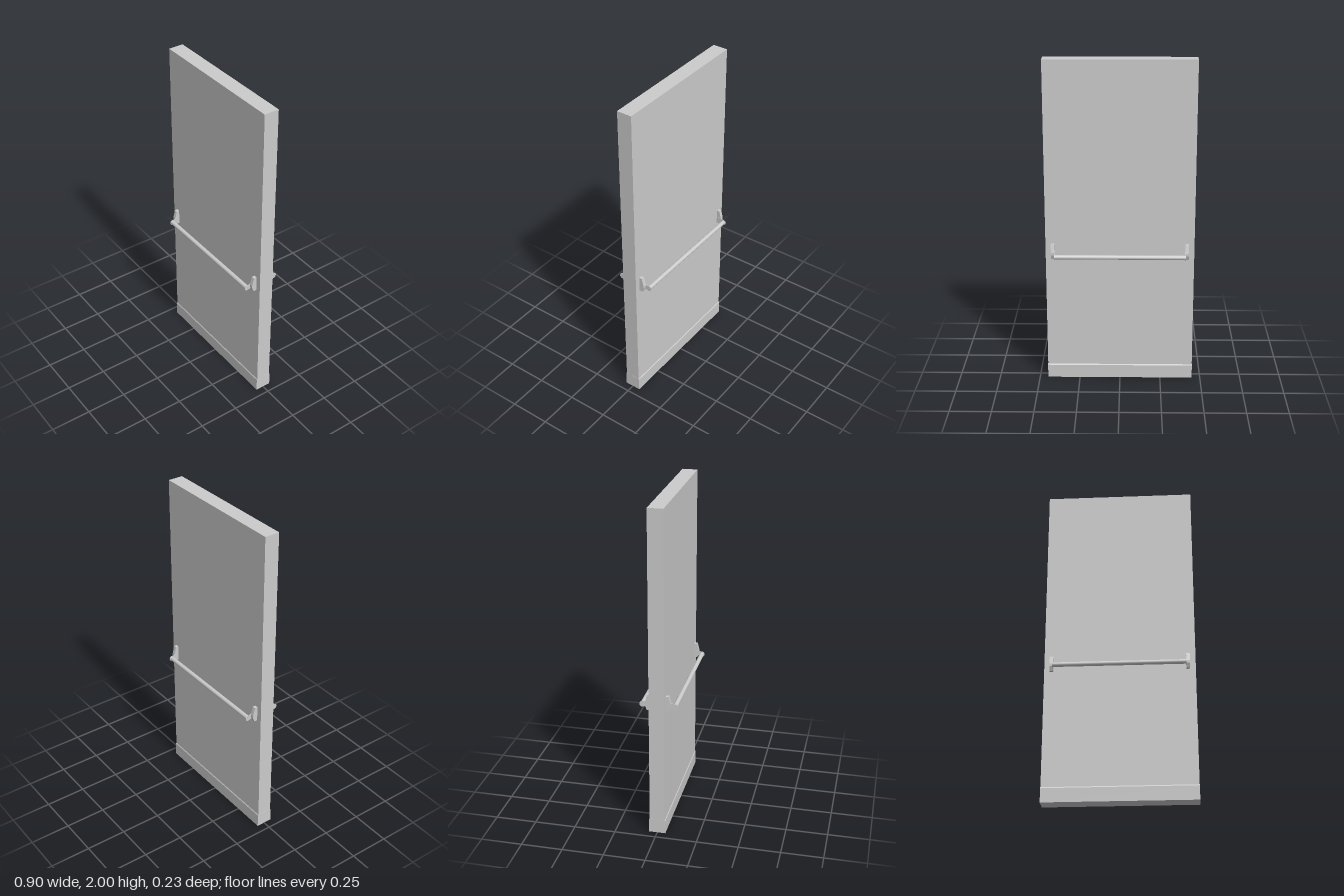
import * as THREE from 'three';

const material = new THREE.MeshStandardMaterial({ color: 0xcccccc });

// Extrudes a (z, y) profile along x, centred on x
function sideExtrude(shape, width, x, name) {
  const geo = new THREE.ExtrudeGeometry(shape, { depth: width, bevelEnabled: false, curveSegments: 16 });
  geo.translate(0, 0, -width / 2).rotateY(-Math.PI / 2);
  const mesh = new THREE.Mesh(geo, material);
  mesh.position.x = x;
  mesh.name = name;
  return mesh;
}

function polygon(points) {
  return new THREE.Shape(points.map(([z, y]) => new THREE.Vector2(z, y)));
}

// Push bar with its two end brackets and arms, on the +z face
function createPushBar() {
  const group = new THREE.Group();
  const barY = 0.82, barZ = 0.097;

  const bar = new THREE.Mesh(new THREE.CylinderGeometry(0.0135, 0.0135, 0.786, 24), material);
  bar.rotation.z = Math.PI / 2;
  bar.position.set(0, barY, barZ);
  bar.name = 'bar';
  group.add(bar);

  // Bracket body, sloping outward towards the arm
  const bracket = polygon([
    [0.045, 0.795], [0.066, 0.795], [0.077, 0.822], [0.077, 0.838], [0.064, 0.889], [0.045, 0.889],
  ]);

  // Thin arm plate with a rounded end around the bar
  const arm = new THREE.Shape();
  arm.moveTo(0.06, 0.845);
  arm.lineTo(0.06, 0.812);
  arm.lineTo(0.088, 0.805);
  arm.absarc(barZ, barY, 0.0175, -2.1, 1.9, false);
  arm.lineTo(0.075, 0.842);
  arm.closePath();

  for (const side of [-1, 1]) {
    group.add(sideExtrude(bracket, 0.021, side * 0.404, 'bracket'));
    group.add(sideExtrude(arm, 0.003, side * 0.3925, 'arm'));
  }
  return group;
}

export function createModel() {
  const model = new THREE.Group();

  // Door leaf
  const leaf = new THREE.Mesh(new THREE.BoxGeometry(0.896, 2, 0.092), material);
  leaf.position.y = 1;
  leaf.name = 'doorLeaf';
  model.add(leaf);

  // Kick plate wrapping the foot of the door, with a chamfered top edge
  const kick = polygon([
    [-0.05, 0], [0.05, 0], [0.05, 0.083], [0.046, 0.09], [-0.046, 0.09], [-0.05, 0.083],
  ]);
  model.add(sideExtrude(kick, 0.898, 0, 'kickPlate'));

  // One push bar on each face
  ['frontPushBar', 'backPushBar'].forEach((name, i) => {
    const pushBar = createPushBar();
    pushBar.rotation.y = i * Math.PI;
    pushBar.name = name;
    model.add(pushBar);
  });

  return model;
}
